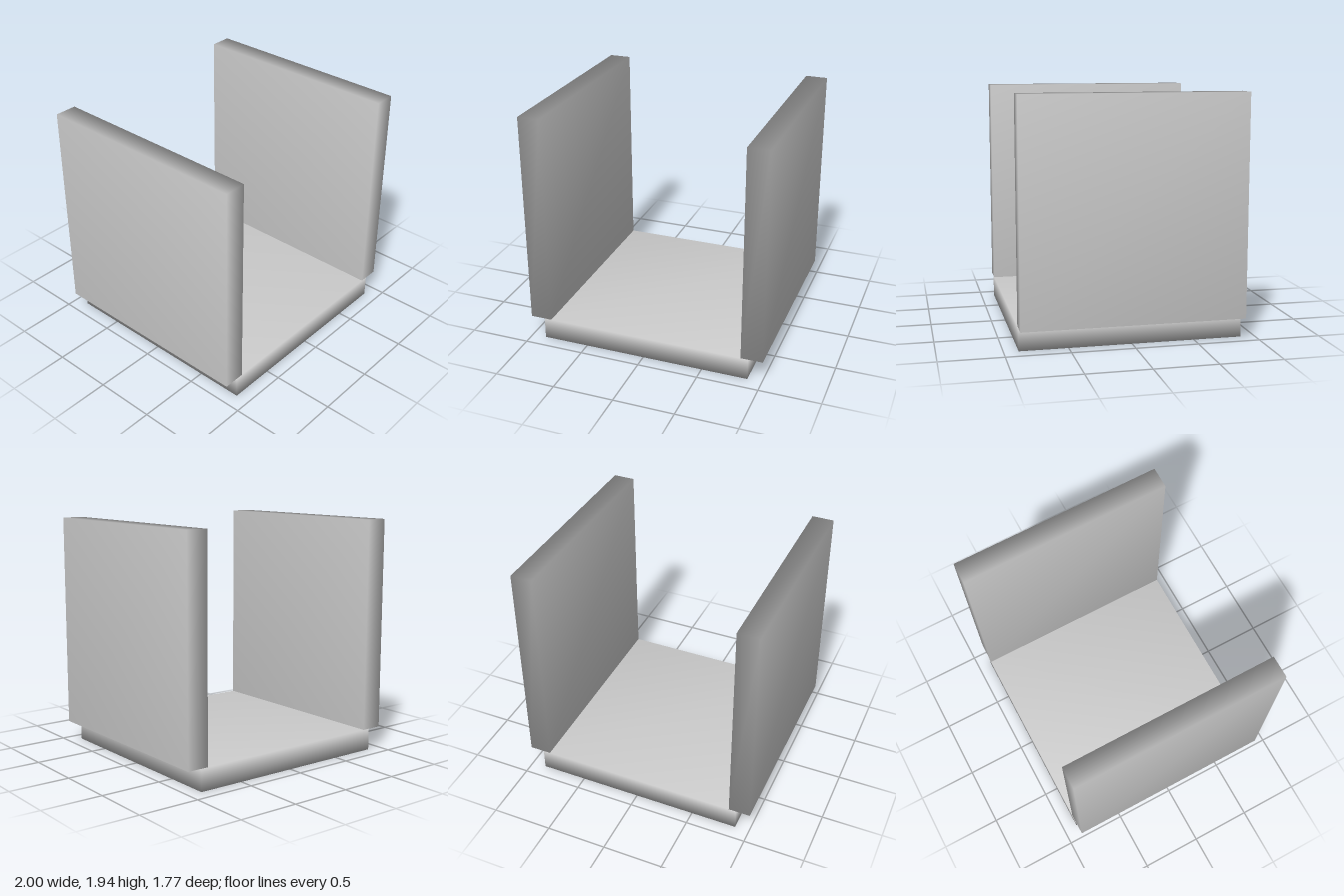
import * as THREE from 'three';
import { mergeVertices } from 'three/addons/utils/BufferGeometryUtils.js';

// Slab with shared corners, so its shading is smooth across the edges
function slab(name, width, height, depth, x, y) {
  const box = new THREE.BoxGeometry(width, height, depth);
  box.deleteAttribute('normal');
  box.deleteAttribute('uv');
  const geometry = mergeVertices(box);
  geometry.computeVertexNormals();
  const mesh = new THREE.Mesh(geometry, new THREE.MeshStandardMaterial({ color: 0xcccccc }));
  mesh.name = name;
  mesh.position.set(x, y, 0);
  return mesh;
}

export function createModel() {
  const thickness = 0.18;
  const side = 1.76; // panel length
  const depth = 1.77;
  const group = new THREE.Group();
  group.name = 'openChannel';

  // Floor panel
  group.add(slab('basePanel', side, thickness, depth, 0, thickness / 2));

  // Upright panels resting on the floor and overhanging its edges
  for (const [name, s] of [['leftWall', 1], ['rightWall', -1]]) {
    group.add(slab(name, thickness, side, depth, s * (1 - thickness / 2), thickness + side / 2));
  }
  return group;
}
